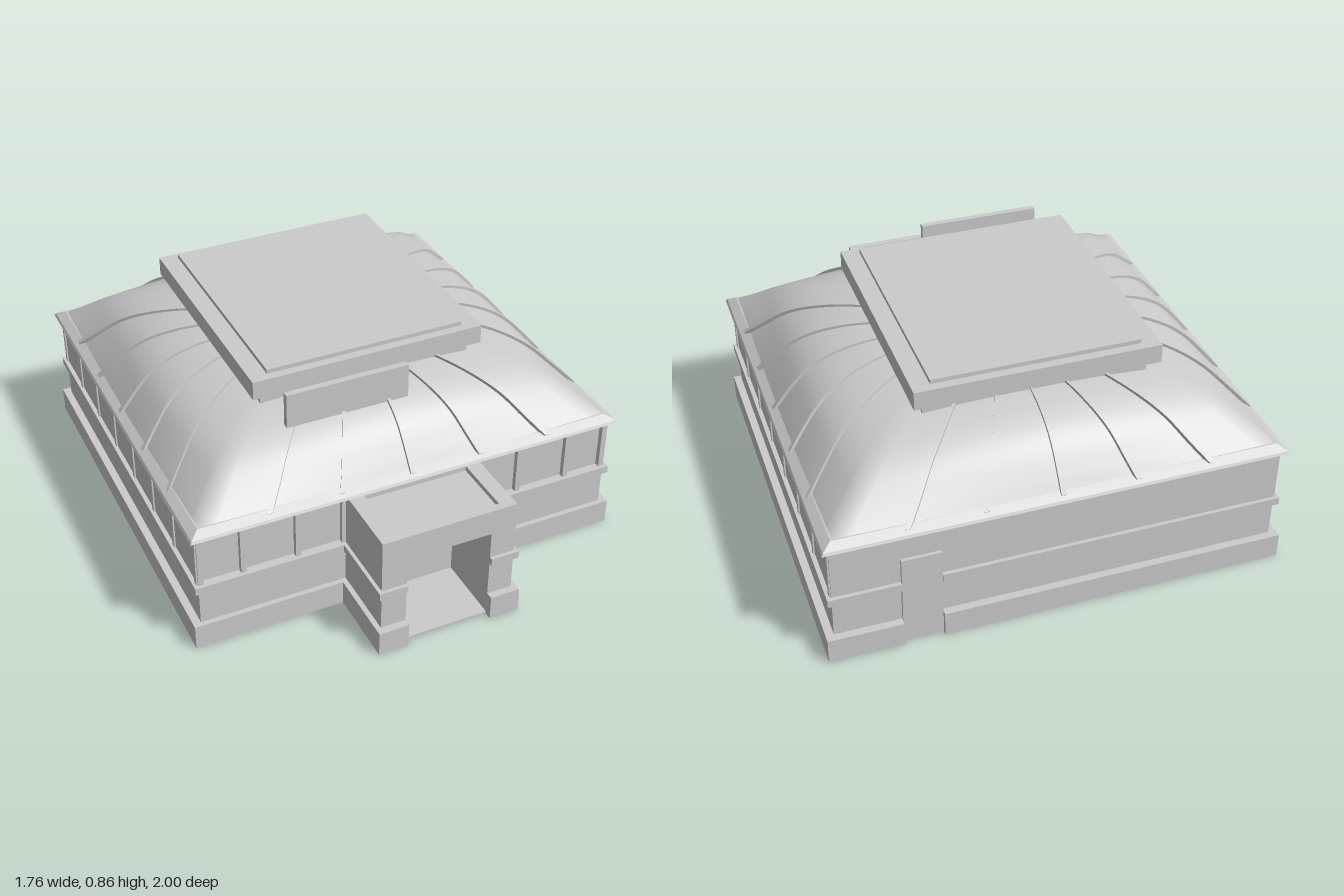
import * as THREE from 'three';

const smooth = new THREE.MeshStandardMaterial({ color: 0xcccccc });
const flat = new THREE.MeshStandardMaterial({ color: 0xcccccc, flatShading: true });

// Roof plan: half width, half depth, centre in z
const HX = 0.85, HZ = 0.82, CZ = -0.15;

// Box given by its limits on each axis
function box(parent, name, x0, x1, y0, y1, z0, z1) {
  const mesh = new THREE.Mesh(new THREE.BoxGeometry(x1 - x0, y1 - y0, z1 - z0), flat);
  mesh.position.set((x0 + x1) / 2, (y0 + y1) / 2, (z0 + z1) / 2);
  mesh.name = name;
  parent.add(mesh);
}

// Skin over a list of closed rings with equal point counts
function loft(rings, capped = false) {
  const n = rings[0].length, index = [];
  for (let j = 0; j < rings.length - 1; j++) {
    for (let i = 0; i < n; i++) {
      const a = j * n + i, b = j * n + (i + 1) % n;
      index.push(a, b, b + n, a, b + n, a + n);
    }
  }
  if (capped) {
    const e = (rings.length - 1) * n;
    index.push(0, 2, 1, 0, 3, 2, e, e + 1, e + 2, e, e + 2, e + 3);
  }
  const geo = new THREE.BufferGeometry().setFromPoints(rings.flat());
  geo.setIndex(index);
  geo.computeVertexNormals();
  return geo;
}

// Point on the plan outline at perimeter position k (0..4); w rounds the corners
function planPoint(k, scale, y, w) {
  k = (k + 4) % 4;
  const side = Math.floor(k), v = -1 + 2 * (k - side);
  const [x, z] = [[v, 1], [1, -v], [-v, -1], [-1, v]][side];
  const rx = 1 - w * (1 - Math.sqrt(1 - z * z / 2));
  const rz = 1 - w * (1 - Math.sqrt(1 - x * x / 2));
  return new THREE.Vector3(HX * scale * x * rx, y, CZ + HZ * scale * z * rz);
}

function ring(scale, y, w, perSide) {
  return Array.from({ length: 4 * perSide }, (_, i) => planPoint(i / perSide, scale, y, w));
}

export function createModel() {
  const model = new THREE.Group();
  const group = (name) => {
    const g = new THREE.Group();
    g.name = name;
    model.add(g);
    return g;
  };

  // Plinth, notched at the back for the service door
  const plinth = group('plinth');
  box(plinth, 'plinthBody', -0.88, 0.88, 0, 0.1, -0.975, 0.69);
  box(plinth, 'plinthBack', -0.88, 0.45, 0, 0.1, -1, -0.975);
  box(plinth, 'plinthBack', 0.6, 0.88, 0, 0.1, -1, -0.975);

  // Walls with the front windows set back
  const walls = group('walls');
  box(walls, 'wallCore', -0.85, 0.85, 0.1, 0.49, -0.97, 0.65);
  box(walls, 'frontSill', -0.85, 0.85, 0.1, 0.275, 0.65, 0.67);
  box(walls, 'frontHeader', -0.85, 0.85, 0.475, 0.49, 0.65, 0.67);
  for (const s of [-1, 1]) {
    for (const x of [0.84, 0.675, 0.46, 0.275]) {
      box(walls, 'frontMullion', s * x - 0.01, s * x + 0.01, 0.275, 0.475, 0.65, 0.67);
    }
    for (let i = 0; i < 8; i++) {
      const z = -0.955 + i * 0.23;
      box(walls, 'sideMullion', s * 0.852 - 0.004, s * 0.852 + 0.004, 0.275, 0.485, z - 0.01, z + 0.01);
    }
  }
  box(walls, 'backDoor', 0.45, 0.6, 0, 0.38, -0.983, -0.96);

  // String course around the walls
  const band = group('band');
  const B0 = 0.245, B1 = 0.275;
  for (const s of [-1, 1]) {
    box(band, 'sideBand', s * 0.857 - 0.01, s * 0.857 + 0.01, B0, B1, -0.985, 0.685);
    box(band, 'frontBand', s * 0.56 - 0.305, s * 0.56 + 0.305, B0, B1, 0.66, 0.685);
  }
  box(band, 'backBand', -0.867, 0.45, B0, B1, -0.985, -0.96);
  box(band, 'backBand', 0.6, 0.867, B0, B1, -0.985, -0.96);

  // Sharp eave
  const eave = new THREE.Mesh(loft([
    ring(0.98, 0.478, 0, 1), ring(1.032, 0.49, 0, 1),
    ring(1.025, 0.5, 0, 1), ring(0.985, 0.52, 0, 1), ring(0.9, 0.52, 0, 1),
  ]), flat);
  eave.name = 'eave';
  model.add(eave);

  // Domed roof: scale, height and corner rounding along the slope
  const slope = new THREE.CatmullRomCurve3([
    [1, 0.505, 0], [0.94, 0.57, 0.15], [0.86, 0.645, 0.3],
    [0.76, 0.697, 0.48], [0.62, 0.73, 0.65], [0.45, 0.742, 0.8],
  ].map((p) => new THREE.Vector3(...p))).getPoints(20);
  const roof = new THREE.Mesh(loft(slope.map((p) => ring(p.x, p.y, p.z, 24))), smooth);
  roof.name = 'roof';
  model.add(roof);

  // Raised ribs, five on each side
  const ribs = group('roofRibs');
  const H = 0.006;
  for (let side = 0; side < 4; side++) {
    for (let i = 1; i <= 5; i++) {
      const k = side + i / 6;
      const rings = slope.map((p) => {
        const up = [p.x + 0.01, p.y + 0.009, p.z], low = [p.x - 0.005, p.y - 0.005, p.z];
        return [planPoint(k - H, ...up), planPoint(k + H, ...up),
          planPoint(k + H, ...low), planPoint(k - H, ...low)];
      });
      const rib = new THREE.Mesh(loft(rings, true), flat);
      rib.name = 'rib';
      ribs.add(rib);
    }
  }

  // Flat roof cap on a short neck
  const cap = group('roofCap');
  box(cap, 'neck', -0.45, 0.41, 0.68, 0.775, -0.63, 0.31);
  box(cap, 'capSlab', -0.49, 0.45, 0.77, 0.845, -0.67, 0.345);
  box(cap, 'capPanel', -0.42, 0.38, 0.84, 0.862, -0.635, 0.31);

  // Blank board standing on the front slope
  box(model, 'signBoard', -0.41, 0.08, 0.7, 0.84, 0.44, 0.465);

  // Entrance porch
  const porch = group('porch');
  for (const s of [-1, 1]) {
    box(porch, 'pierBase', s * 0.23 - 0.06, s * 0.23 + 0.06, 0, 0.1, 0.68, 1);
    box(porch, 'pier', s * 0.22 - 0.05, s * 0.22 + 0.05, 0.1, 0.385, 0.66, 0.97);
    box(porch, 'pierBand', s * 0.227 - 0.057, s * 0.227 + 0.057, B0, B1, 0.66, 0.985);
    box(porch, 'parapetSide', s * 0.24 - 0.03, s * 0.24 + 0.03, 0.47, 0.49, 0.66, 0.97);
  }
  box(porch, 'porchRoof', -0.27, 0.27, 0.385, 0.47, 0.66, 0.97);
  box(porch, 'parapetFront', -0.21, 0.21, 0.47, 0.49, 0.94, 0.97);
  box(porch, 'parapetBack', -0.21, 0.21, 0.47, 0.49, 0.66, 0.695);
  box(porch, 'porchFloor', -0.17, 0.17, 0, 0.01, 0.68, 0.97);
  box(porch, 'entranceDoor', -0.17, 0.17, 0.01, 0.385, 0.66, 0.695);

  return model;
}
